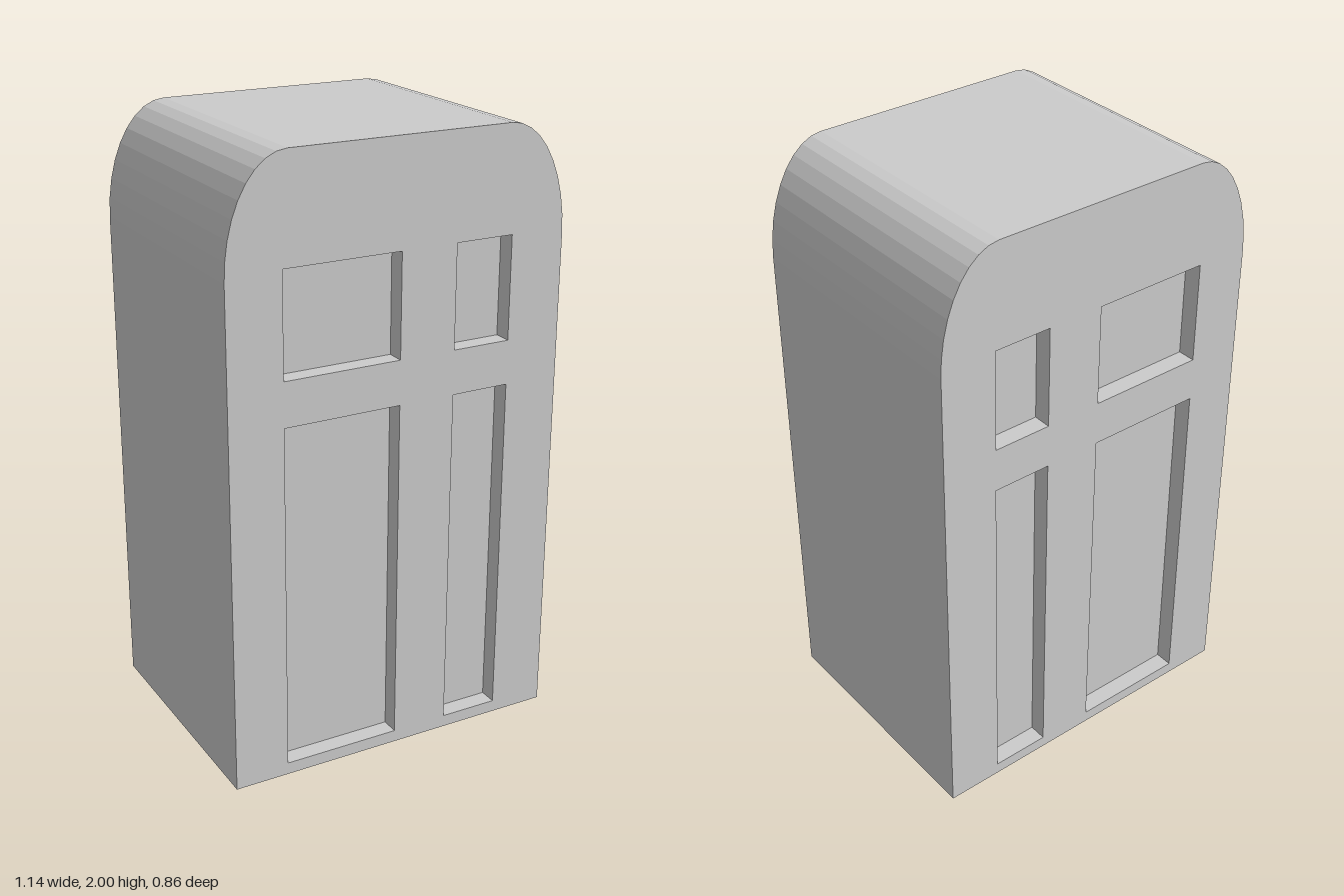
import * as THREE from 'three';

const W = 0.57, H = 2, D = 0.86;        // half width, height, depth
const RX = 0.2, RY = 0.36;              // elliptical shoulder radii
const RECESS = 0.06;                    // panel inset on front and back
const ARC_STEPS = 9;

// Openings as [x0, x1, y0, y1]
const openings = {
  largeLowerPanel: [-0.39, 0, 0.04, 1.18],
  smallLowerPanel: [0.19, 0.385, 0.04, 1.18],
  largeUpperPanel: [-0.39, 0, 1.325, 1.66],
  smallUpperPanel: [0.19, 0.385, 1.325, 1.66],
};

export function createModel() {
  const group = new THREE.Group();
  const material = new THREE.MeshStandardMaterial({ color: 0xcccccc, flatShading: true });

  // Outline: square foot, elliptically rounded shoulders
  const outline = [new THREE.Vector2(-W, 0), new THREE.Vector2(W, 0)];
  for (const side of [1, -1]) {
    for (let i = 0; i <= ARC_STEPS; i++) {
      const t = (side > 0 ? i : ARC_STEPS - i) / ARC_STEPS * Math.PI / 2;
      outline.push(new THREE.Vector2(
        side * (W - RX + RX * Math.cos(t)), H - RY + RY * Math.sin(t)));
    }
  }
  const shape = new THREE.Shape(outline);
  for (const [x0, x1, y0, y1] of Object.values(openings)) {
    shape.holes.push(new THREE.Path([
      new THREE.Vector2(x0, y0), new THREE.Vector2(x0, y1),
      new THREE.Vector2(x1, y1), new THREE.Vector2(x1, y0)]));
  }

  // Body with openings running front to back
  const bodyGeometry = new THREE.ExtrudeGeometry(shape, { depth: D, bevelEnabled: false });
  bodyGeometry.translate(0, 0, -D / 2);
  const body = new THREE.Mesh(bodyGeometry, material);
  body.name = 'body';
  group.add(body);

  // Filling blocks leave a shallow recess on both faces
  for (const [name, [x0, x1, y0, y1]] of Object.entries(openings)) {
    const panel = new THREE.Mesh(
      new THREE.BoxGeometry(x1 - x0, y1 - y0, D - 2 * RECESS), material);
    panel.position.set((x0 + x1) / 2, (y0 + y1) / 2, 0);
    panel.name = name;
    group.add(panel);
  }
  return group;
}
